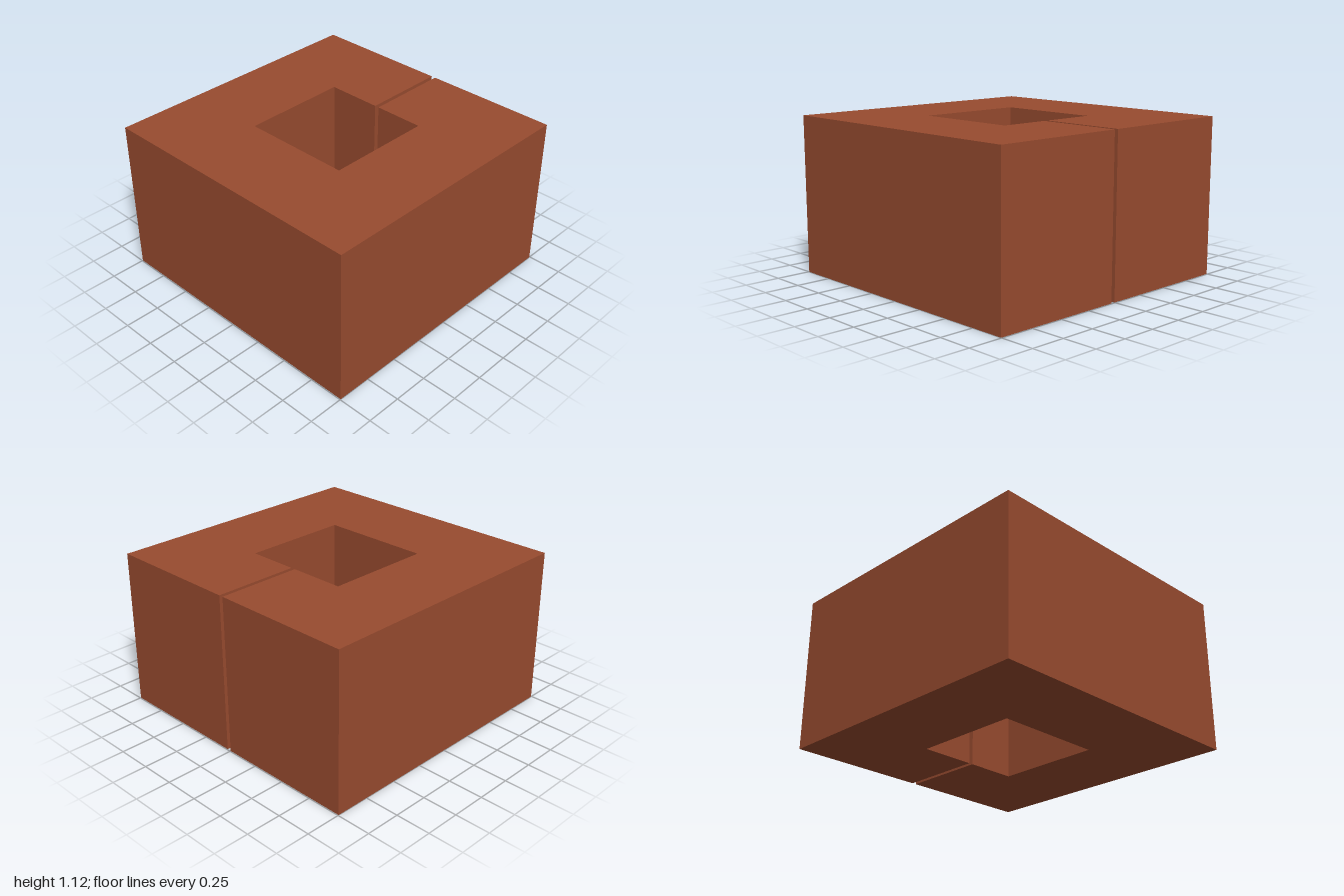
import * as THREE from 'three';

export function createModel() {
  const group = new THREE.Group();
  group.name = 'slottedBlock';

  const height = 1.12;
  const brown = new THREE.MeshStandardMaterial({ color: 0x984b2f });

  // Plan outline as [x, z]: square block, square well, narrow slot out to the back
  const plan = [
    [-1, 0.995], [1, 0.995], [1, -0.995],
    [0.03, -0.995], [0.03, -0.385],
    [0.39, -0.385], [0.39, 0.38], [-0.395, 0.38], [-0.395, -0.385],
    [0, -0.385], [0, -0.995], [-1, -0.995],
  ];
  const shape = new THREE.Shape(plan.map(([x, z]) => new THREE.Vector2(x, -z)));

  // Extrude the plan, then stand it upright on y = 0
  const geometry = new THREE.ExtrudeGeometry(shape, { depth: height, bevelEnabled: false });
  geometry.rotateX(-Math.PI / 2);

  const block = new THREE.Mesh(geometry, brown);
  block.name = 'block';
  group.add(block);
  return group;
}
